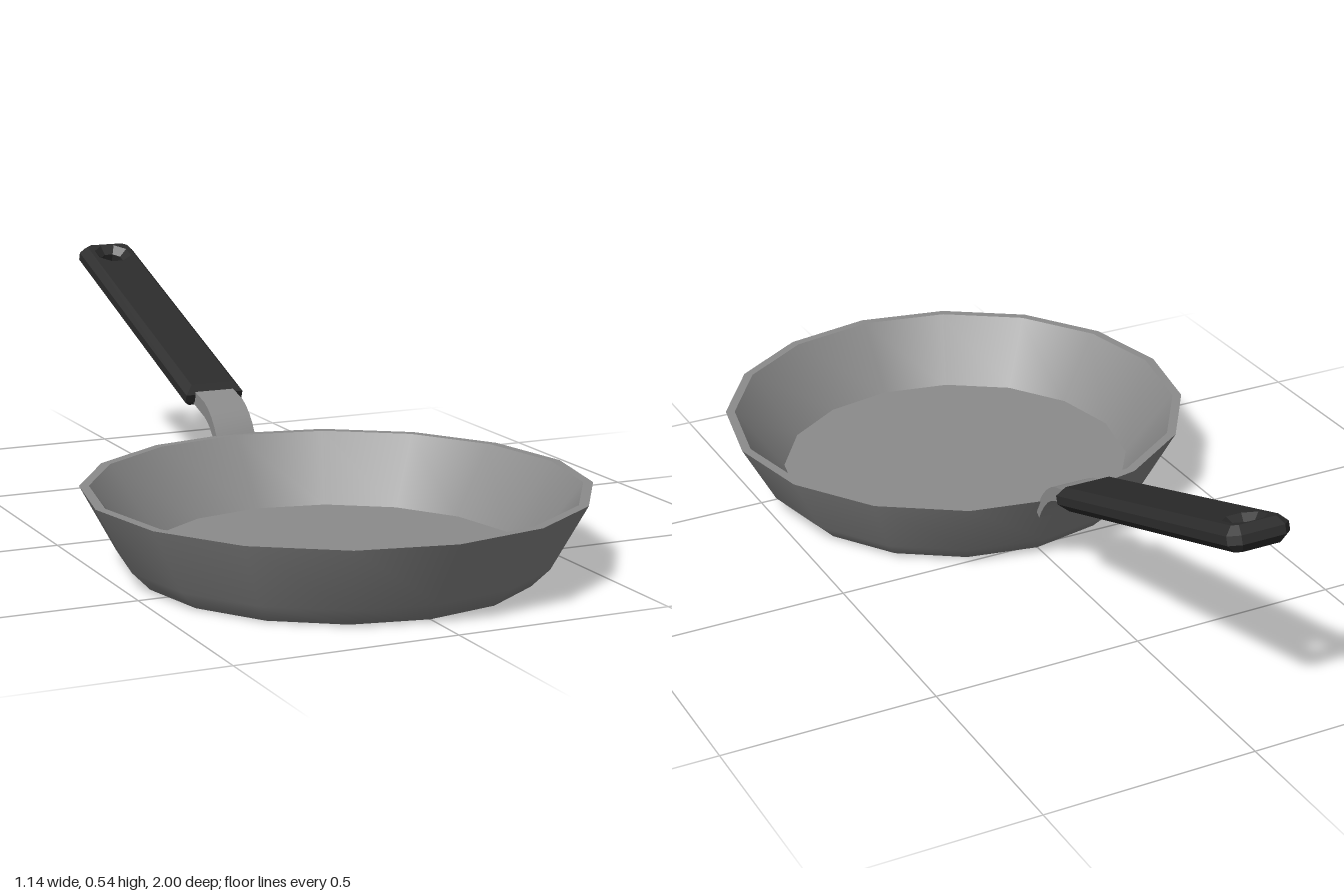
import * as THREE from 'three';
import { toCreasedNormals } from 'three/addons/utils/BufferGeometryUtils.js';

const steel = new THREE.MeshStandardMaterial({ color: 0x8c8c8c });
steel.name = 'steel grey';
const black = new THREE.MeshStandardMaterial({ color: 0x2c2c2c });
black.name = 'handle black';

const v = (x, y) => new THREE.Vector2(x, y);

function mesh(name, geometry, material) {
  const m = new THREE.Mesh(geometry, material);
  m.name = name;
  return m;
}

// Pan body: separate sixteen-sided lathes keep the rim and floor edges crisp
function createPan() {
  const pan = new THREE.Group();
  pan.name = 'pan';
  const profiles = {
    outerShell: [v(0, 0), v(0.445, 0), v(0.487, 0.042), v(0.568, 0.19)],
    rim: [v(0.568, 0.19), v(0.546, 0.19)],
    innerWall: [v(0.546, 0.19), v(0.43, 0.036)],
    floor: [v(0.43, 0.036), v(0, 0.036)],
  };
  for (const [name, points] of Object.entries(profiles)) {
    pan.add(mesh(name, new THREE.LatheGeometry(points, 16), steel));
  }
  pan.position.z = 0.432;
  return pan;
}

// Curved strap joining the pan wall to the grip, drawn as (-z, y) side profile
function createBracket() {
  const width = 0.1;
  const s = new THREE.Shape();
  s.moveTo(0.3, 0.29);
  s.lineTo(0.25, 0.274);
  s.lineTo(0.195, 0.26);
  s.quadraticCurveTo(0.135, 0.235, 0.104, 0.155);
  s.lineTo(0.118, 0.143);
  s.quadraticCurveTo(0.15, 0.208, 0.195, 0.224);
  s.lineTo(0.25, 0.241);
  s.lineTo(0.3, 0.258);
  s.closePath();
  const g = new THREE.ExtrudeGeometry(s, { depth: width, bevelEnabled: false, curveSegments: 5 });
  g.translate(0, 0, -width / 2);
  g.rotateY(Math.PI / 2);
  return mesh('bracket', toCreasedNormals(g, 0.7), steel);
}

// Faceted grip with a hanging hole, bevelled on every edge
function createGrip() {
  const bevel = 0.018, depth = 0.02, length = 0.79;
  const w = 0.056, near = bevel, far = length - bevel, cut = 0.012;
  const s = new THREE.Shape([
    v(-w, near), v(w, near), v(w, far - cut), v(w - cut, far), v(cut - w, far), v(-w, far - cut),
  ]);
  const hole = new THREE.Path();
  hole.absarc(0, 0.72, 0.048, Math.PI / 8, Math.PI * 2 + Math.PI / 8, true);
  s.holes.push(hole);
  const g = new THREE.ExtrudeGeometry(s, {
    depth, curveSegments: 4, bevelEnabled: true, bevelThickness: bevel, bevelSize: bevel, bevelSegments: 1,
  });
  g.translate(0, 0, -depth / 2);
  g.rotateX(-Math.PI / 2);
  const grip = mesh('grip', g, black);
  grip.position.set(0, 0.258, -0.25);
  grip.rotation.x = THREE.MathUtils.degToRad(19);
  return grip;
}

export function createModel() {
  const model = new THREE.Group();
  model.name = 'fryingPan';
  model.add(createPan(), createBracket(), createGrip());
  return model;
}
